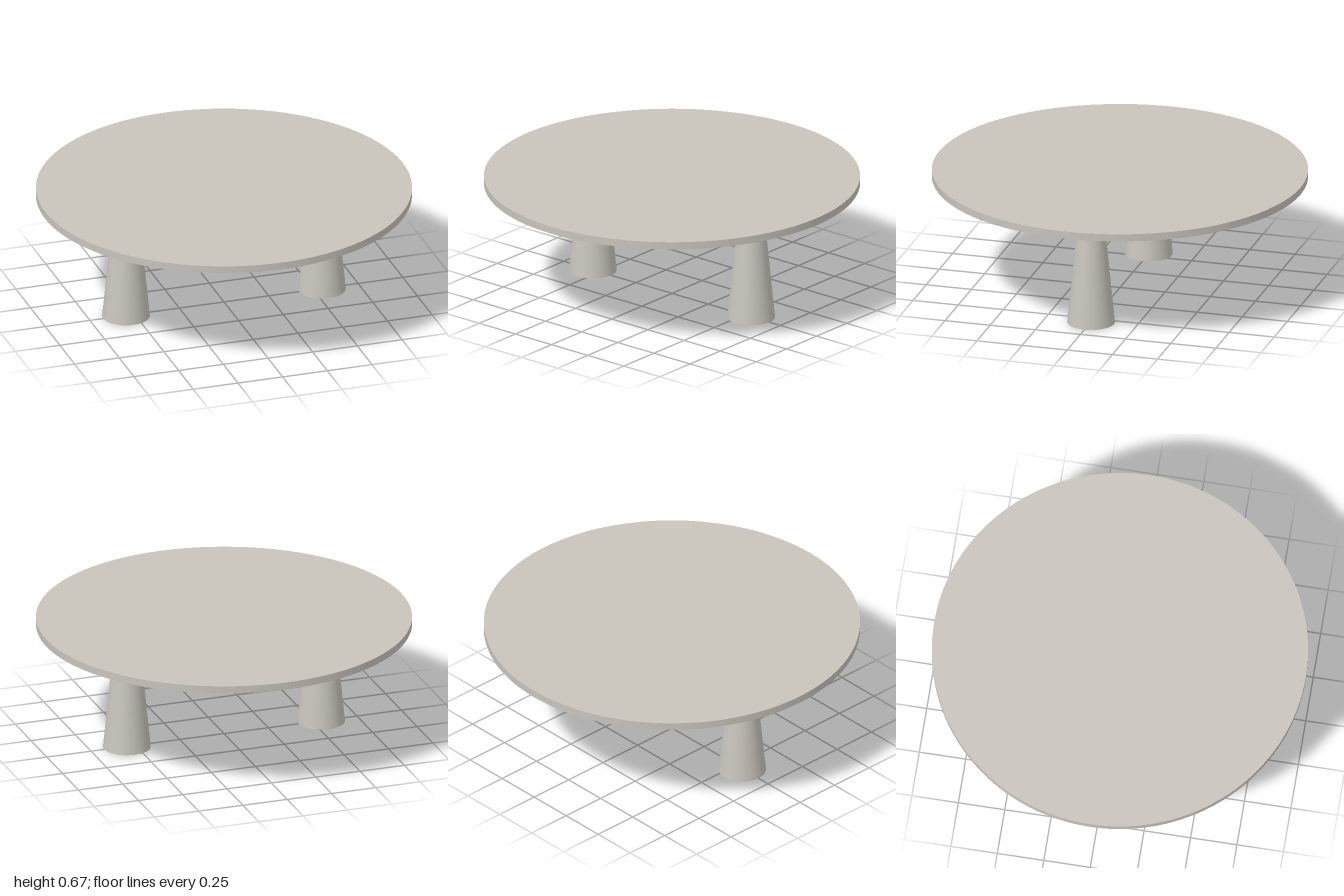
import * as THREE from 'three';

export function createModel() {
  const model = new THREE.Group();
  model.name = 'roundTable';

  const stone = new THREE.MeshStandardMaterial({ color: 0xc8c4bc });
  stone.name = 'warm grey stone';

  const legHeight = 0.63;
  const topThickness = 0.04;

  // Thin round table top
  const top = new THREE.Mesh(new THREE.CylinderGeometry(1, 1, topThickness, 128), stone);
  top.name = 'tableTop';
  top.position.y = legHeight + topThickness / 2;
  model.add(top);

  // Two tapered round legs, wider at the floor
  const legGeometry = new THREE.CylinderGeometry(0.065, 0.127, legHeight, 64);
  for (const side of [-1, 1]) {
    const leg = new THREE.Mesh(legGeometry, stone);
    leg.name = side > 0 ? 'leftLeg' : 'rightLeg';
    leg.position.set(side * 0.548, legHeight / 2, 0);
    model.add(leg);
  }

  return model;
}
